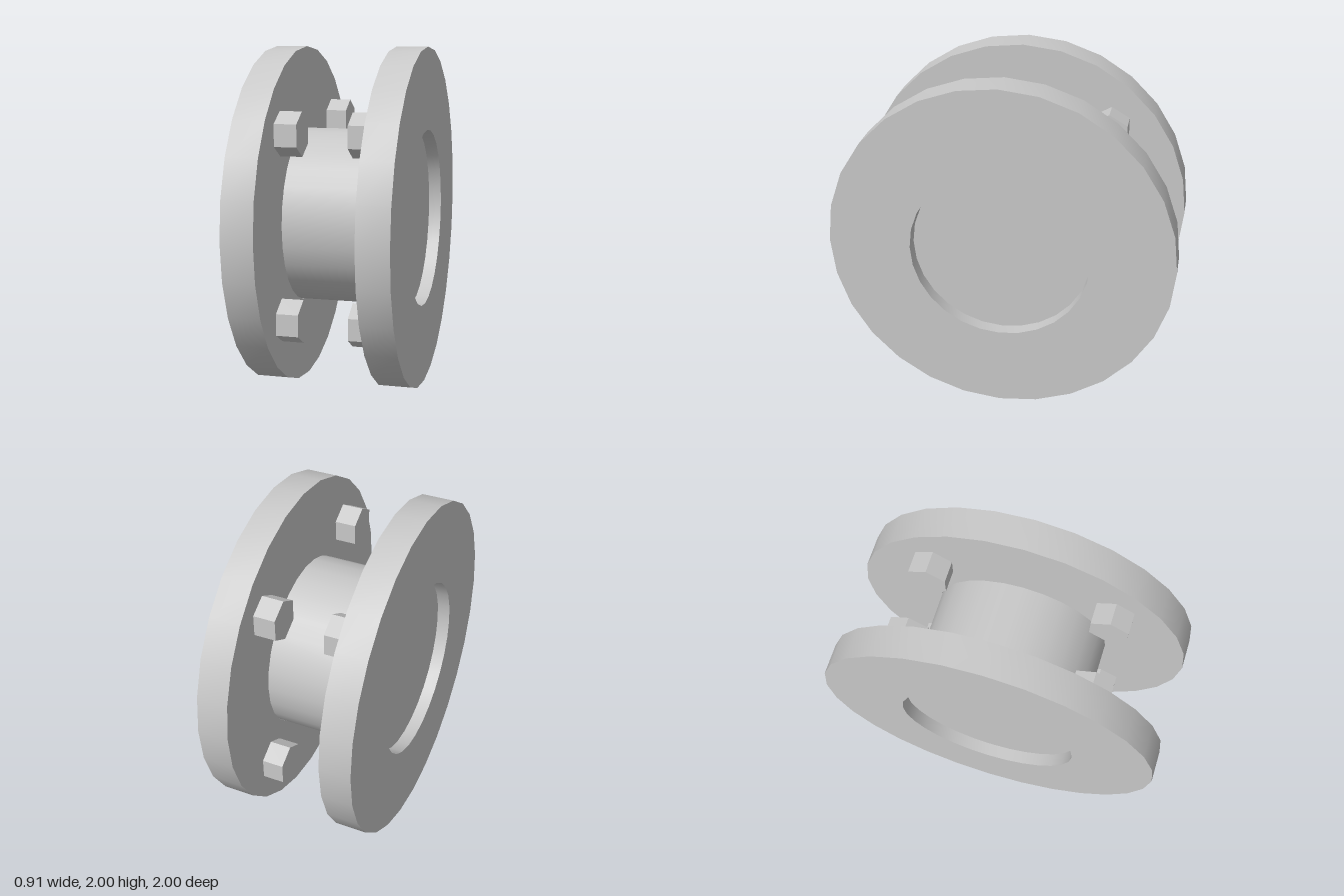
import * as THREE from 'three';
import { toCreasedNormals } from 'three/addons/utils/BufferGeometryUtils.js';

const steel = new THREE.MeshStandardMaterial({ color: 0xc8c8c8 });
steel.name = 'light grey steel';

function add(parent, name, geometry, x, y, z) {
  const mesh = new THREE.Mesh(geometry, steel);
  mesh.name = name;
  mesh.position.set(x, y, z);
  parent.add(mesh);
}

export function createModel() {
  const group = new THREE.Group();
  group.name = 'flangedSpool';

  // Flange: a flat ring with a bore, its axis turned to x
  const inner = 0.52, outer = 1, half = 0.092;
  const profile = [
    [inner, -half], [outer, -half], [outer, half], [inner, half], [inner, -half],
  ].map(([r, h]) => new THREE.Vector2(r, h));
  const flange = toCreasedNormals(new THREE.LatheGeometry(profile, 28), 0.6).rotateZ(-Math.PI / 2);

  // Hexagonal bolt head with a corner pointing up
  const bolt = new THREE.CylinderGeometry(0.125, 0.125, 0.14, 6, 1, false, Math.PI / 6)
    .rotateZ(-Math.PI / 2);
  const boltHead = toCreasedNormals(bolt, 0.5);

  // Hub: ends sit recessed inside the flange bores
  const hub = new THREE.CylinderGeometry(0.518, 0.518, 0.76, 28).rotateZ(-Math.PI / 2);
  add(group, 'hub', hub, 0, 1, 0);

  for (const side of [1, -1]) {
    const label = side > 0 ? 'left' : 'right';
    add(group, label + 'Flange', flange, side * 0.363, 1, 0);
    // Four bolt heads on the inner face of each flange
    for (const up of [1, -1]) {
      for (const front of [1, -1]) {
        add(group, label + 'BoltHead', boltHead, side * 0.213, 1 + up * 0.53, front * 0.53);
      }
    }
  }
  return group;
}
